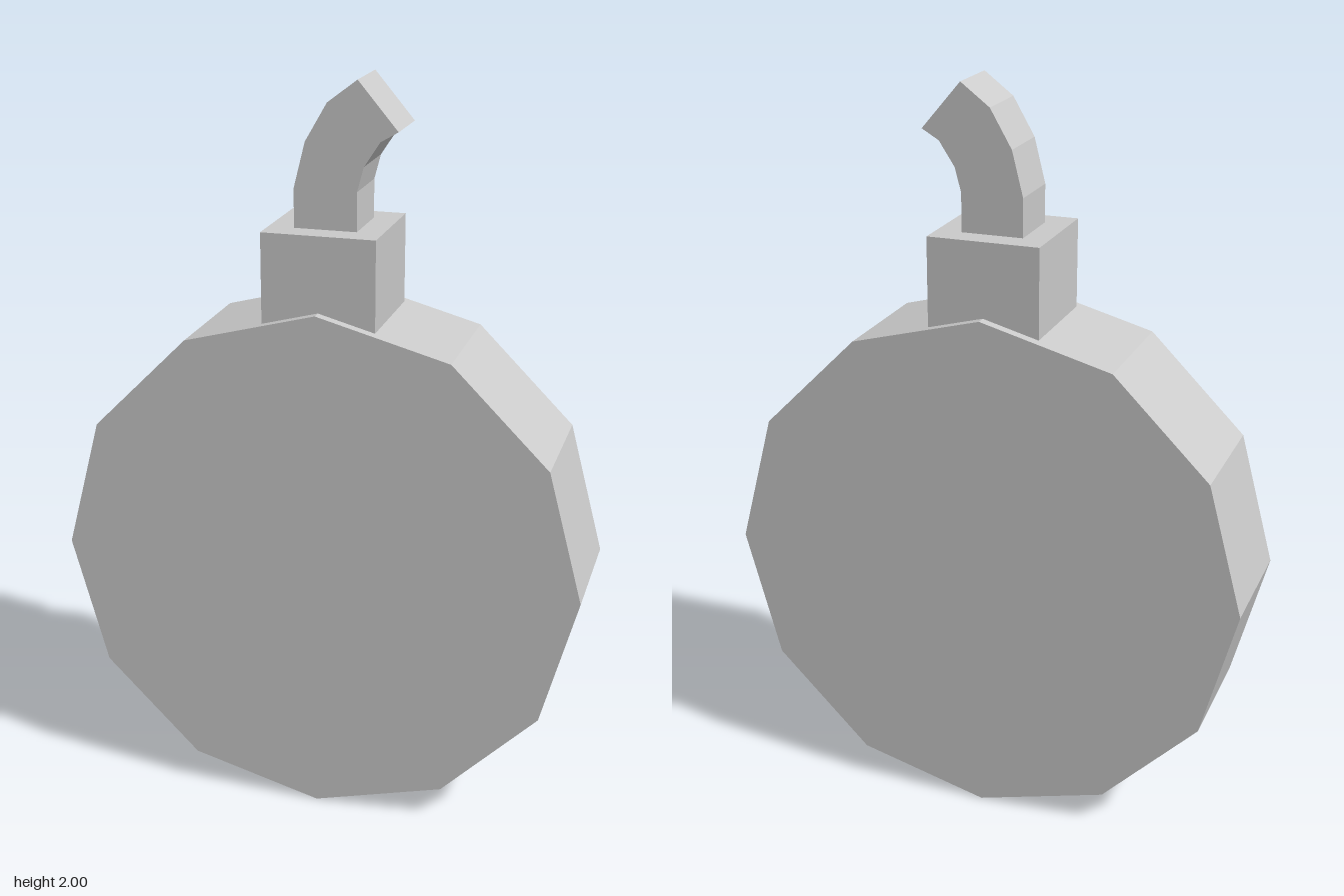
import * as THREE from 'three';

const material = new THREE.MeshStandardMaterial({ color: 0xcccccc, flatShading: true });

function addPart(group, name, geometry, y = 0) {
  const mesh = new THREE.Mesh(geometry, material);
  mesh.name = name;
  mesh.position.y = y;
  group.add(mesh);
}

export function createModel() {
  const group = new THREE.Group();
  group.name = 'bomb';

  // Twelve-sided disc standing on one corner
  const body = new THREE.CylinderGeometry(0.71, 0.71, 0.356, 12);
  body.rotateX(Math.PI / 2);
  addPart(group, 'body', body, 0.71);

  // Square collar sunk into the top of the disc
  addPart(group, 'collar', new THREE.BoxGeometry(0.302, 0.26, 0.302), 1.49);

  // Square fuse curving towards +x: inner edge up, outer edge down
  const profile = [
    [-0.083, 1.6], [0.083, 1.6], [0.083, 1.722], [0.1, 1.786], [0.142, 1.85], [0.188, 1.877],
    [0.083, 2], [0.005, 1.941], [-0.053, 1.841], [-0.083, 1.722],
  ];
  const shape = new THREE.Shape(profile.map(([x, y]) => new THREE.Vector2(x, y)));
  const fuse = new THREE.ExtrudeGeometry(shape, { depth: 0.166, bevelEnabled: false });
  fuse.translate(0, 0, -0.083);
  addPart(group, 'fuse', fuse);

  return group;
}
